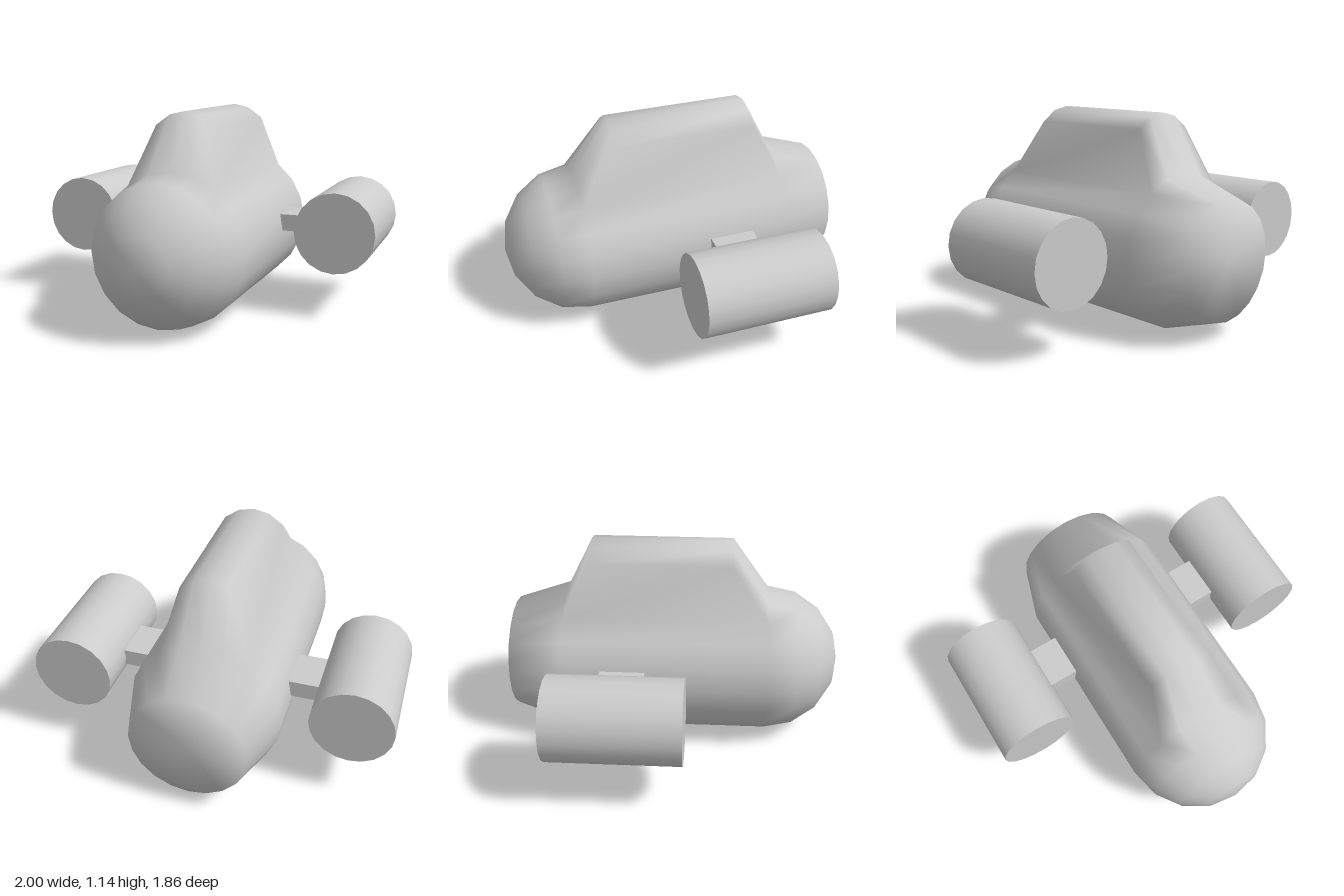
import * as THREE from 'three';

const SIDES = 20;
const R = 0.417;        // hull radius
const CX = 0.005;       // hull axis
const CY = 0.418;

// Hull: rings along z with one welded skin; the canopy is raised from the top four panels.
function hullGeometry() {
  const pos = [], index = [];
  const add = (x, y, z) => pos.push(x, y, z) / 3 - 1;
  const quad = (a, b, c, d) => index.push(a, b, c, a, c, d);
  const ring = (r, z) => Array.from({ length: SIDES }, (_, i) => {
    const a = (i / SIDES) * Math.PI * 2;
    return add(CX + r * Math.cos(a), CY + r * Math.sin(a), z);
  });

  // round nose, straight middle, tapered tail
  const zNose = 0.516, zTail = -0.625;
  const rings = [];
  for (let k = 1; k <= 4; k++) {
    const a = (k * Math.PI) / 8;
    rings.push(ring(R * Math.sin(a), zNose + R * Math.cos(a)));
  }
  rings.push(ring(R, zTail), ring(0.317, -0.93));

  const tip = add(CX, CY, zNose + R);
  const tail = add(CX, CY, -0.93);
  const last = rings.length - 1;
  for (let i = 0; i < SIDES; i++) {
    const j = (i + 1) % SIDES;
    index.push(tip, rings[0][i], rings[0][j]);
    index.push(tail, rings[last][j], rings[last][i]);
    for (let k = 0; k < last; k++) {
      if (k === 3 && i >= 3 && i < 7) continue; // opening under the canopy
      quad(rings[k][i], rings[k + 1][i], rings[k + 1][j], rings[k][j]);
    }
  }

  // canopy
  const raise = (z) => [3, 4, 5, 6, 7].map((i) => {
    const a = (i / SIDES) * Math.PI * 2;
    return add(CX + 0.71 * R * Math.cos(a), CY + 0.308 + R * Math.sin(a), z);
  });
  const front = raise(0.31), back = raise(-0.47);
  const baseF = rings[3].slice(3, 8), baseB = rings[4].slice(3, 8);
  for (let i = 0; i < 4; i++) {
    quad(front[i], back[i], back[i + 1], front[i + 1]);
    quad(baseF[i], front[i], front[i + 1], baseF[i + 1]);
    quad(back[i], baseB[i], baseB[i + 1], back[i + 1]);
  }
  quad(baseF[0], baseB[0], back[0], front[0]);
  quad(front[4], back[4], baseB[4], baseF[4]);

  const g = new THREE.BufferGeometry();
  g.setAttribute('position', new THREE.Float32BufferAttribute(pos, 3));
  g.setIndex(index);
  g.computeVertexNormals();
  return g;
}

export function createModel() {
  const group = new THREE.Group();
  const material = new THREE.MeshStandardMaterial({ color: 0xcccccc });
  const part = (name, geometry, x, y, z) => {
    const mesh = new THREE.Mesh(geometry, material);
    mesh.name = name;
    mesh.position.set(x, y, z);
    group.add(mesh);
  };

  part('hull', hullGeometry(), 0, 0, 0);

  // side pods on short struts
  const pod = new THREE.CylinderGeometry(0.224, 0.224, 0.705, SIDES).rotateX(Math.PI / 2);
  const strut = new THREE.BoxGeometry(0.24, 0.096, 0.248);
  for (const [side, s] of [['left', 1], ['right', -1]]) {
    part(side + 'Pod', pod, s * 0.776, 0.483, -0.273);
    part(side + 'Strut', strut, s * 0.45, 0.478, -0.279);
  }
  return group;
}
